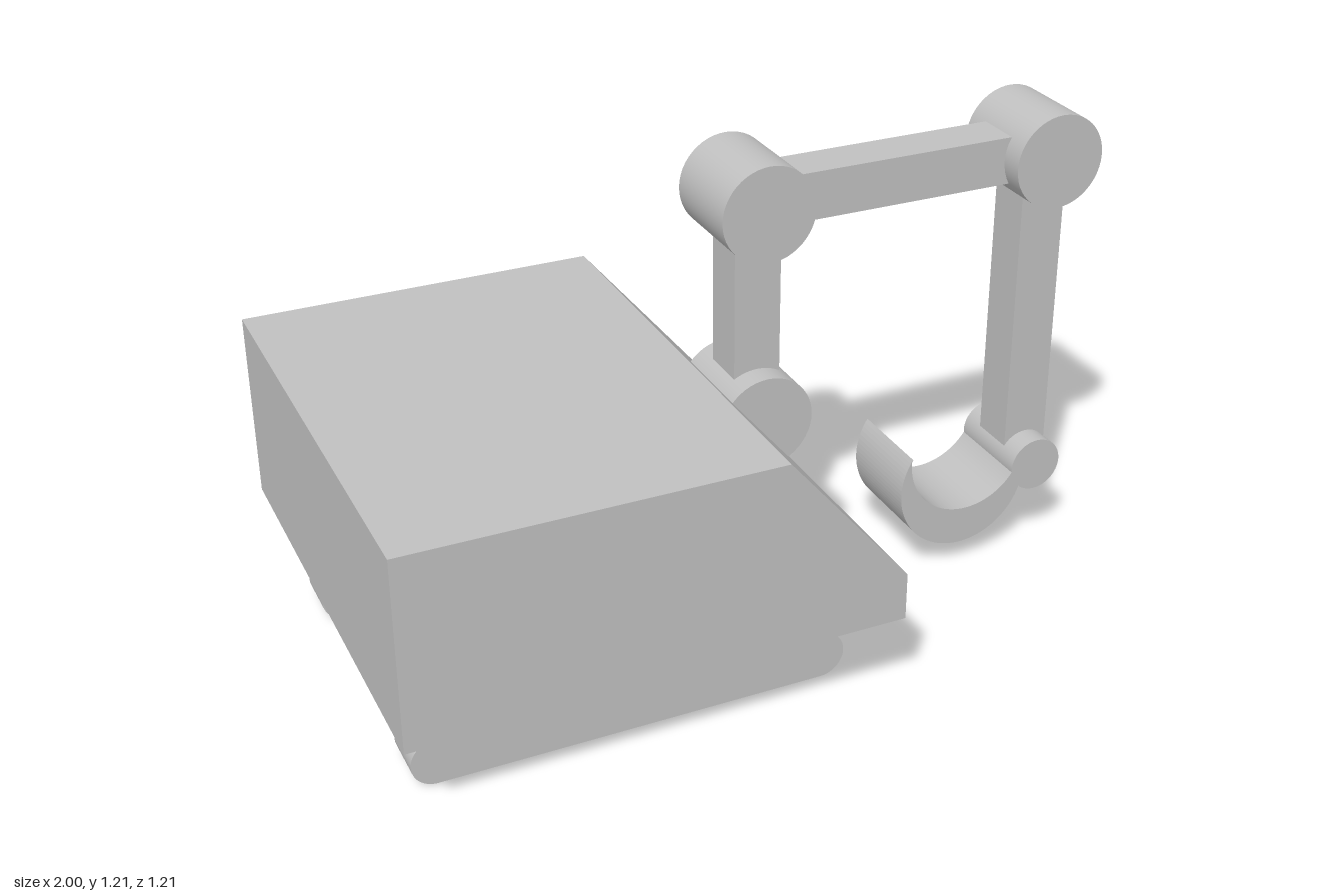
import * as THREE from 'three';

export function createModel() {
  const model = new THREE.Group();
  const grey = new THREE.MeshStandardMaterial({ color: 0xc0c0c0 });
  grey.name = 'plain grey';

  function add(name, geometry, x = 0, y = 0, z = 0) {
    const mesh = new THREE.Mesh(geometry, grey);
    mesh.name = name;
    mesh.position.set(x, y, z);
    model.add(mesh);
    return mesh;
  }
  const box = (name, w, h, d, x, y, z = 0) => add(name, new THREE.BoxGeometry(w, h, d), x, y, z);
  const disc = (name, r, h, x, y, z = 0) => add(name, new THREE.CylinderGeometry(r, r, h, 48), x, y, z);
  const pin = (name, r, length, x, y, z = 0) => {
    disc(name, r, length, x, y, z).rotation.x = Math.PI / 2;
  };
  // Side profile in x and y, extruded evenly about z
  const profile = (name, shape, depth, z = 0) => add(name,
    new THREE.ExtrudeGeometry(shape, { depth, bevelEnabled: false, curveSegments: 32 }), 0, 0, z - depth / 2);

  // Housing with a sloping nose
  profile('body', new THREE.Shape([
    [-1, 0.245], [0.21, 0.245], [0.21, 0.365], [-0.095, 0.73], [-1, 0.73],
  ].map(([x, y]) => new THREE.Vector2(x, y))), 1.21);

  // Undercarriage: two rounded tracks joined by a crossbar
  const r = 0.061;
  const track = new THREE.Shape();
  track.moveTo(-0.88, 0);
  track.lineTo(0.088, 0);
  track.absarc(0.088, r, r, -Math.PI / 2, Math.PI / 2, false);
  track.lineTo(-0.88, 2 * r);
  track.absarc(-0.88, r, r, Math.PI / 2, Math.PI * 1.5, false);
  profile('leftTrack', track, 0.121, 0.364);
  profile('rightTrack', track, 0.121, -0.364);
  box('crossbar', 0.121, 0.122, 0.61, -0.397, r);

  // Turntable
  disc('turntableBase', 0.145, 0.062, -0.397, 0.153);
  disc('turntableTop', 0.182, 0.061, -0.397, 0.2145);

  // Small fitting on the end of one track
  disc('fittingStem', 0.036, 0.016, -0.883, 0.13, 0.365);
  box('fittingPlate', 0.122, 0.011, 0.142, -0.883, 0.142, 0.365);
  for (const x of [-0.928, -0.876]) pin('fittingRod', 0.006, 0.142, x, 0.152, 0.365);

  // Arm: three beams with round joints
  box('lowerArm', 0.121, 0.545, 0.121, 0.087, 0.82);
  box('upperArm', 0.789, 0.121, 0.121, 0.4815, 1.092);
  box('foreArm', 0.121, 0.849, 0.121, 0.876, 0.668);
  pin('shoulderJoint', 0.121, 0.242, 0.087, 0.547);
  pin('elbowJoint', 0.121, 0.242, 0.087, 1.092);
  pin('outerJoint', 0.121, 0.242, 0.876, 1.092);
  pin('wristJoint', 0.072, 0.242, 0.876, 0.243);

  // Crescent scoop
  const deg = Math.PI / 180;
  const scoop = new THREE.Shape();
  scoop.absarc(0.655, 0.245, 0.182, 146.6 * deg, 377.4 * deg, false);
  scoop.absarc(0.667, 0.33, 0.167, -10.8 * deg, -185.2 * deg, true);
  profile('scoop', scoop, 0.242);

  return model;
}
